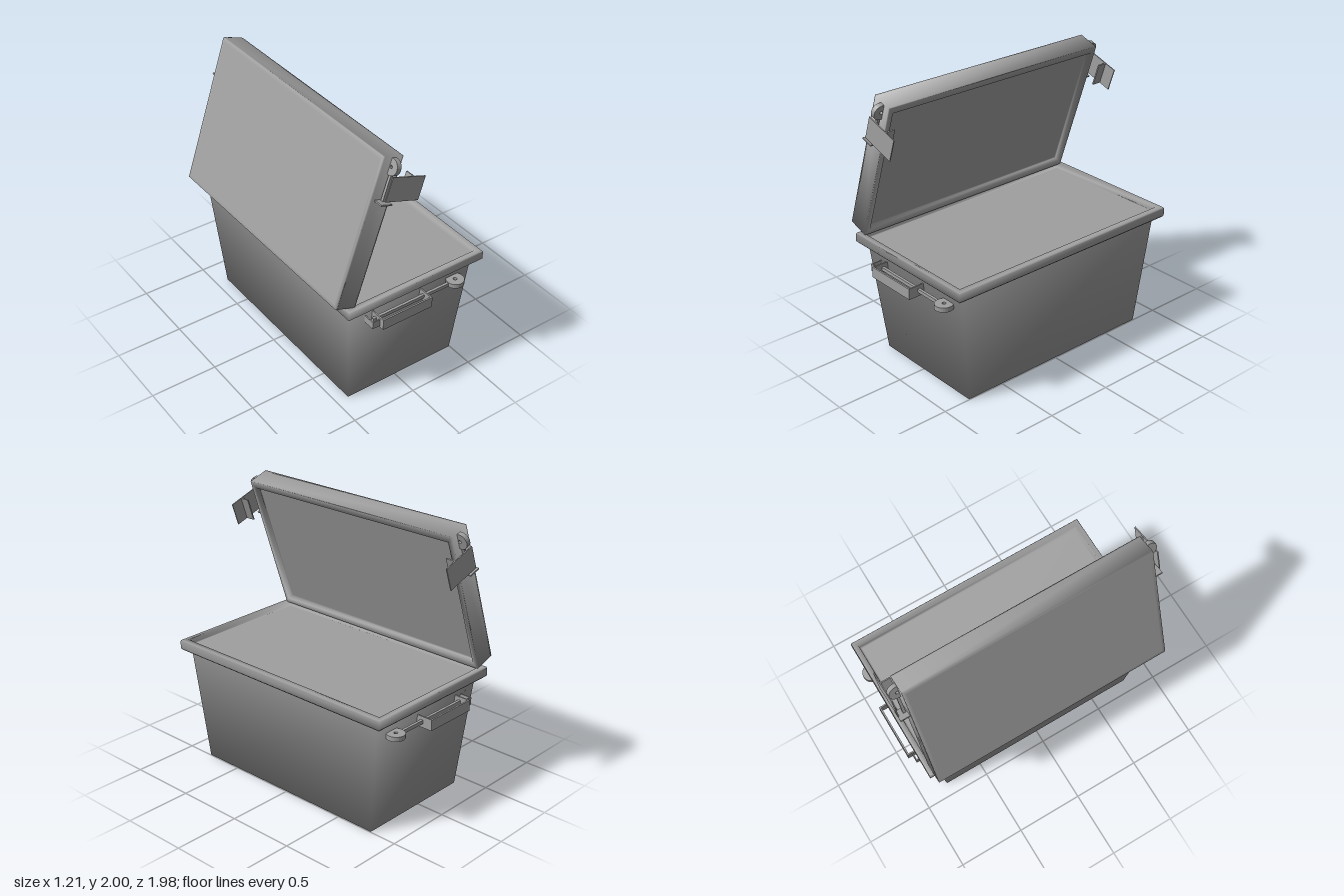
import * as THREE from 'three';

const material = new THREE.MeshStandardMaterial({ color: 0x9f9f9f });

function add(parent, name, geometry, x = 0, y = 0, z = 0) {
  const mesh = new THREE.Mesh(geometry, material);
  mesh.name = name;
  mesh.position.set(x, y, z);
  parent.add(mesh);
  return mesh;
}

// Box given by its limits; side = 1 or -1 picks the end of the chest.
function addBox(parent, name, [x0, x1], [y0, y1], [z0, z1], side) {
  return add(parent, name, new THREE.BoxGeometry(x1 - x0, y1 - y0, z1 - z0),
    (x0 + x1) / 2, (y0 + y1) / 2, side * (z0 + z1) / 2);
}

// Smooth loft through rectangular rings [y, xMin, xMax, half depth], closed at
// the first ring and, if capped, at the last.
function loft(rings, capped) {
  const points = [], index = [0, 2, 1, 0, 3, 2];
  for (const [y, x0, x1, z] of rings) {
    points.push(x0, y, -z, x0, y, z, x1, y, z, x1, y, -z);
  }
  for (let r = 0; r < rings.length - 1; r++) {
    for (let i = 0; i < 4; i++) {
      const a = r * 4 + i, b = r * 4 + (i + 1) % 4;
      index.push(a, b, b + 4, a, b + 4, a + 4);
    }
  }
  const e = (rings.length - 1) * 4;
  if (capped) index.push(e, e + 1, e + 2, e, e + 2, e + 3);
  const geometry = new THREE.BufferGeometry();
  geometry.setAttribute('position', new THREE.Float32BufferAttribute(points, 3));
  geometry.setIndex(index);
  geometry.computeVertexNormals();
  return geometry;
}

// Flat round plate with a small pin hole, centred, axis along y.
function discGeometry(radius, thickness) {
  const shape = new THREE.Shape().absarc(0, 0, radius, 0, Math.PI * 2);
  shape.holes.push(new THREE.Path().absarc(0, 0, radius * 0.2, 0, Math.PI * 2, true));
  const geometry = new THREE.ExtrudeGeometry(shape, { depth: thickness, bevelEnabled: false, curveSegments: 12 });
  return geometry.translate(0, 0, -thickness / 2).rotateX(Math.PI / 2);
}

// Carrying handle on an end wall: channel grip, rod and round pivot.
function addHandle(parent, side) {
  const handle = new THREE.Group();
  handle.name = 'handle';
  parent.add(handle);
  addBox(handle, 'grip', [-0.275, 0.135], [0.69, 0.77], [0.98, 0.992], side);
  addBox(handle, 'gripEnd', [0.125, 0.135], [0.69, 0.77], [0.865, 0.985], side);
  addBox(handle, 'gripEnd', [-0.275, -0.265], [0.69, 0.77], [0.865, 0.985], side);
  addBox(handle, 'bracketOuterPlate', [-0.335, -0.275], [0.703, 0.757], [0.95, 0.958], side);
  addBox(handle, 'bracketEnd', [-0.335, -0.327], [0.703, 0.757], [0.86, 0.958], side);
  addBox(handle, 'rod', [-0.3, 0.36], [0.72, 0.746], [0.9, 0.92], side);
  add(handle, 'pivotDisc', discGeometry(0.065, 0.034), 0.4, 0.734, side * 0.91);
}

// Latch on an end of the lid, in the lid's own frame (x toward the inside).
function addLatch(parent, side) {
  const latch = new THREE.Group();
  latch.name = 'latch';
  parent.add(latch);
  addBox(latch, 'latchPlate', [-0.1, 0.17], [0.81, 0.98], [0.978, 0.986], side);
  addBox(latch, 'latchFlange', [0.07, 0.08], [0.81, 0.98], [0.91, 0.98], side);
  addBox(latch, 'latchRod', [-0.083, -0.063], [0.79, 1.0], [0.925, 0.945], side);
  addBox(latch, 'latchBracket', [-0.125, -0.035], [0.782, 0.792], [0.91, 0.986], side);
  add(latch, 'latchDisc', discGeometry(0.057, 0.034), -0.073, 1.025, side * 0.93).rotation.z = Math.PI / 2;
}

export function createModel() {
  const model = new THREE.Group();
  model.name = 'storageChest';

  // Tapered body
  add(model, 'body', loft([[0, -0.405, 0.495, 0.79], [0.845, -0.47, 0.555, 0.88]], false));

  // Rounded rim around a shallow recessed top panel
  add(model, 'rim', loft([
    [0.84, -0.46, 0.545, 0.87], [0.84, -0.505, 0.59, 0.93], [0.855, -0.52, 0.605, 0.945],
    [0.91, -0.52, 0.605, 0.945], [0.92, -0.515, 0.6, 0.94], [0.92, -0.475, 0.56, 0.905],
    [0.882, -0.475, 0.56, 0.905], [0.882, -0.46, 0.545, 0.89]], true));

  // Open lid, tilted back; its lower inside edge rests on the rim
  const lid = new THREE.Group();
  lid.name = 'lid';
  lid.position.set(-0.45, 0.917, 0);
  lid.rotation.z = -THREE.MathUtils.degToRad(18.8);
  model.add(lid);
  add(lid, 'lidShell', loft([
    [-0.163, -1.06, -0.028, 0.89], [-0.163, -1.09, 0, 0.915], [-0.15, -1.09, 0, 0.917],
    [-0.01, -1.09, 0, 0.917], [0, -1.09, 0, 0.915], [0, -1.045, -0.043, 0.882],
    [-0.035, -1.045, -0.043, 0.882], [-0.035, -1.03, -0.058, 0.867]], true)).rotation.z = -Math.PI / 2;

  for (const side of [1, -1]) {
    addHandle(model, side);
    addLatch(lid, side);
  }
  return model;
}
